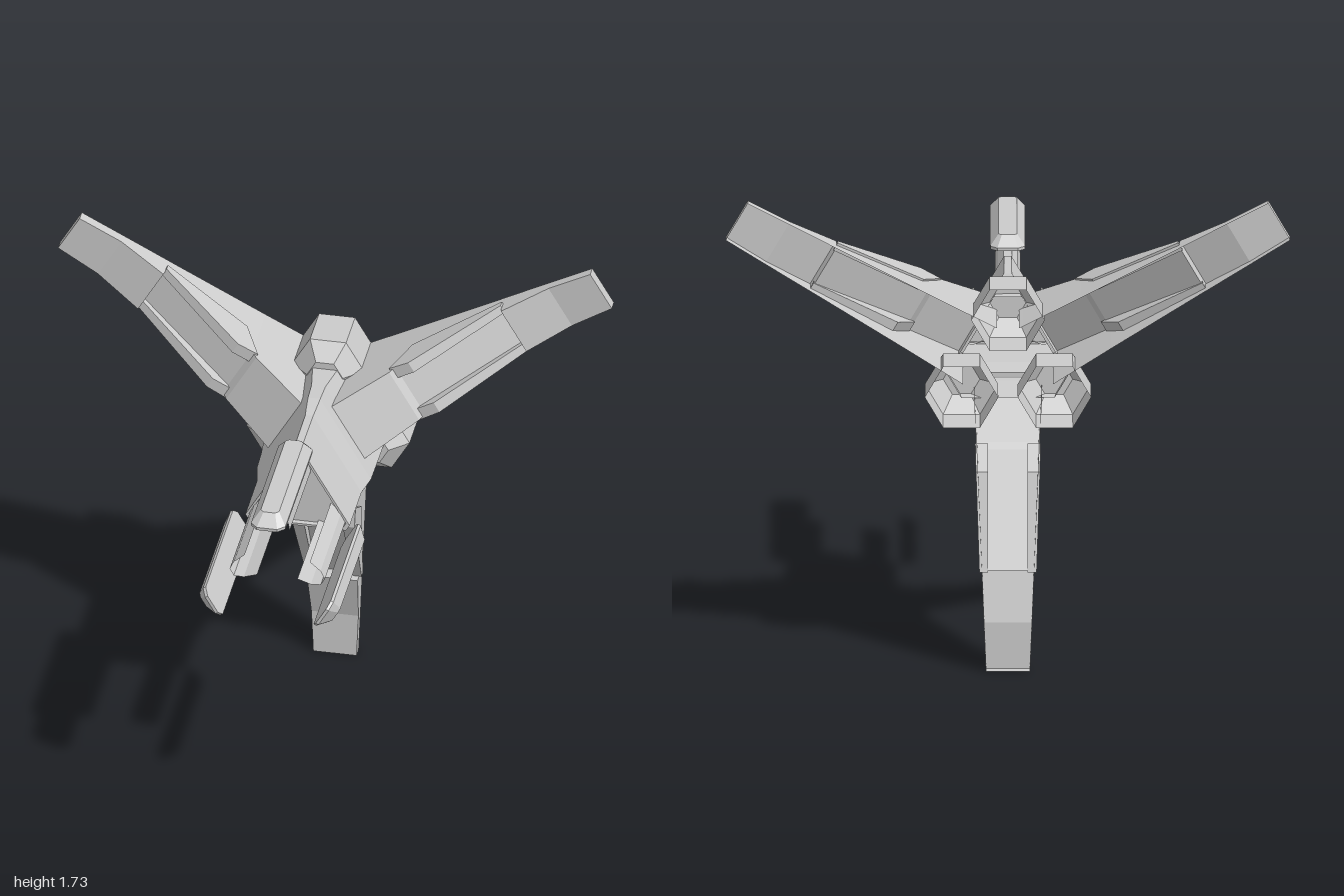
import * as THREE from 'three';

const material = new THREE.MeshStandardMaterial({ color: 0xcccccc, flatShading: true, side: THREE.DoubleSide });

// Skin a list of equal-length rings (counter-clockwise about the direction of travel).
// closed: join each ring's last point to its first; capStart, capEnd: fill the end rings.
function loft(name, rings, { closed = true, capStart = true, capEnd = true } = {}) {
  const pos = [];
  const tri = (a, b, c) => pos.push(...a, ...b, ...c);
  const n = rings[0].length;
  for (let i = 0; i < rings.length - 1; i++) {
    for (let j = 0; j < (closed ? n : n - 1); j++) {
      const k = (j + 1) % n;
      const [a, b, c, d] = [rings[i][j], rings[i][k], rings[i + 1][k], rings[i + 1][j]];
      tri(a, b, c);
      tri(a, c, d);
    }
  }
  const first = rings[0], last = rings[rings.length - 1];
  for (let j = 1; j < n - 1; j++) {
    if (capStart) tri(first[0], first[j + 1], first[j]);
    if (capEnd) tri(last[0], last[j], last[j + 1]);
  }
  const geometry = new THREE.BufferGeometry();
  geometry.setAttribute('position', new THREE.Float32BufferAttribute(pos, 3));
  geometry.computeVertexNormals();
  const mesh = new THREE.Mesh(geometry, material);
  mesh.name = name;
  return mesh;
}

// Wing along +y, a shell open at the back: [distance from hub, front z, half width]
function createWing() {
  const wing = new THREE.Group();
  wing.name = 'wing';
  const sections = [
    [0.115, -0.26, 0.12],
    [0.13, -0.26, 0.119],
    [0.34, -0.375, 0.109],
    [0.36, -0.4, 0.108],
    [0.75, -0.595, 0.092],
    [0.757, -0.55, 0.092],
    [0.94, -0.6, 0.085],
    [1.11, -0.6, 0.078],
  ];
  wing.add(loft('wingShell', sections.map(([r, z, w]) =>
    [[-w, r, -0.64], [-w, r, z], [w, r, z], [w, r, -0.64]]), { closed: false, capStart: false }));

  // Raised rails along both edges
  const profile = [[0.34, -0.39], [0.41, -0.51], [0.755, -0.6], [0.755, -0.575], [0.42, -0.385]];
  const outer = (y) => 0.116 - 0.035 * (y - 0.34);
  const inside = (s) => profile.map(([y, z]) => [s * 0.07, y, z]);
  const outside = (s) => profile.map(([y, z]) => [s * outer(y), y, z]);
  wing.add(loft('leftRail', [inside(1), outside(1)]));
  wing.add(loft('rightRail', [outside(-1), inside(-1)]));
  return wing;
}

// Hexagonal engine housing with a chamfered nose, open at the back
function createEngine() {
  const ring = (radius, z) => Array.from({ length: 6 }, (_, i) => {
    const a = (i * Math.PI) / 3;
    return [radius * Math.cos(a), 0.19 + radius * Math.sin(a), z];
  });
  return loft('engine', [ring(0.13, -0.64), ring(0.13, -0.475), ring(0.065, -0.415)], { capStart: false });
}

// Long bevelled bar in front of the body
function createBarrel() {
  const ring = (y, w, z0, z1, c) => [
    [w, y, z1 - c], [w, y, z0 + c], [w - c, y, z0], [c - w, y, z0],
    [-w, y, z0 + c], [-w, y, z1 - c], [c - w, y, z1], [w - c, y, z1],
  ];
  return loft('outerBarrel', [
    ring(0.225, 0.062, 0.095, 0.645, 0.025),
    ring(0.236, 0.062, 0.095, 0.645, 0.025),
    ring(0.275, 0.033, 0.13, 0.6, 0.012),
  ]);
}

// Thin folded channel inside each corner
function createChannel() {
  const path = [[0.045, 0.11], [0.035, 0.16], [0.015, 0.19], [-0.015, 0.19], [-0.035, 0.16], [-0.045, 0.11]];
  return loft('innerChannel', [0.06, 0.455].map((z) => path.map(([x, y]) => [x, y, z])),
    { closed: false, capStart: false, capEnd: false });
}

// Triangular body with blunt corners, an inset front and an open back
function createBody() {
  const sections = [
    [-0.45, 0.22, 0.05], [-0.3, 0.225, 0.025], [-0.22, 0.225, 0.022], [-0.17, 0.217, 0.018],
    [-0.13, 0.21, 0.014], [0.085, 0.21, 0.013], [0.085, 0.195, 0.012], [0.07, 0.19, 0.011],
  ];
  return loft('body', sections.map(([z, r, w]) => {
    const ring = [];
    for (let i = 0; i < 3; i++) {
      const a = (i * Math.PI * 2) / 3, c = Math.cos(a), s = Math.sin(a);
      for (const x of [w, -w]) ring.push([x * c - r * s, x * s + r * c, z]);
    }
    return ring;
  }), { capStart: false });
}

export function createModel() {
  const model = new THREE.Group();
  model.name = 'spacecraft';
  const craft = new THREE.Group();
  craft.name = 'craft';
  craft.position.y = 1.11;
  craft.add(createBody());

  // Three identical sectors about the long axis
  for (let i = 0; i < 3; i++) {
    const sector = new THREE.Group();
    sector.name = 'sector';
    sector.rotation.z = (i * Math.PI * 2) / 3;
    const wing = createWing();
    wing.rotation.z = Math.PI;
    sector.add(wing, createEngine(), createBarrel(), createChannel());
    craft.add(sector);
  }
  model.add(craft);
  return model;
}
